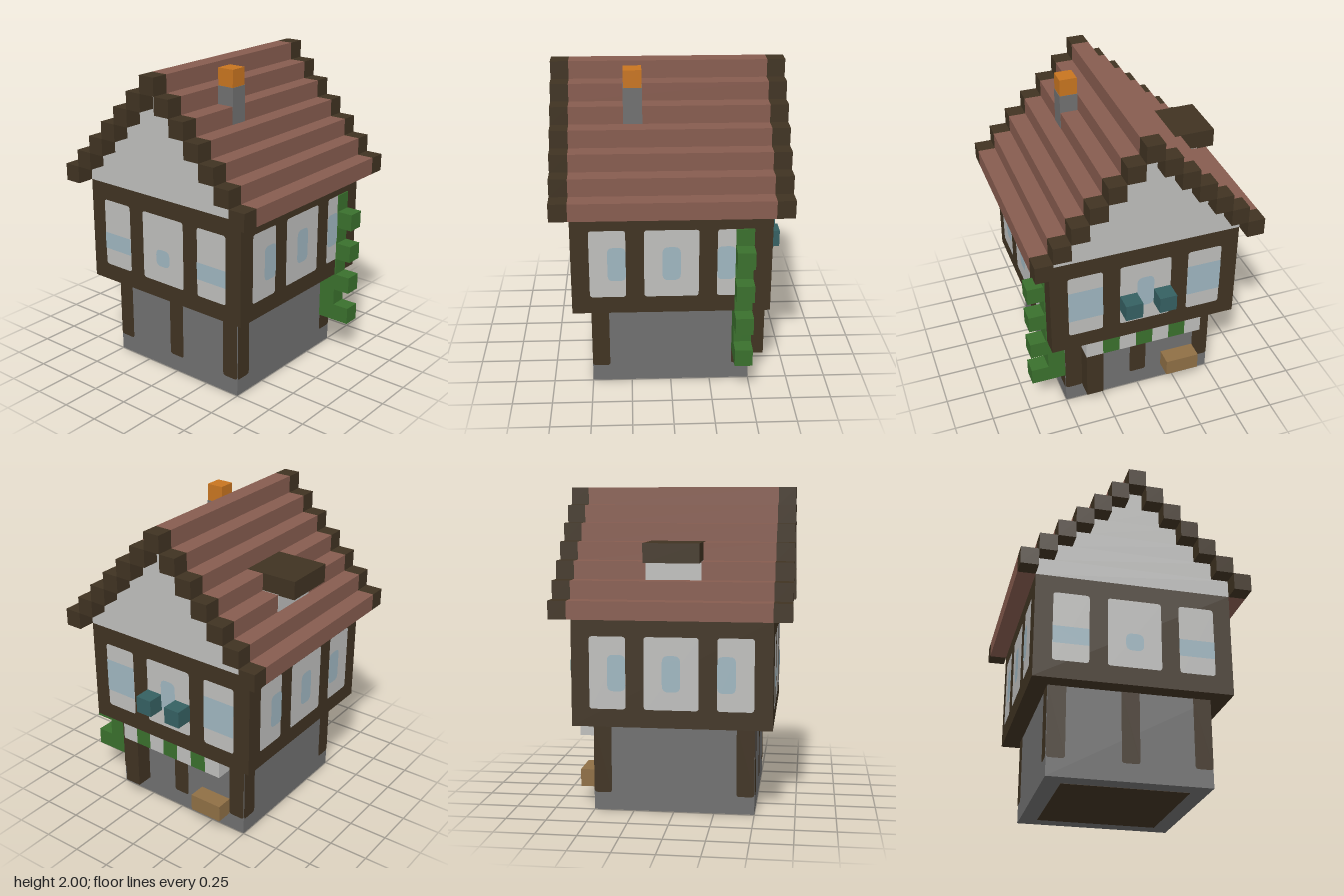
import * as THREE from 'three';

const U = 1 / 9; // one block

const mat = (name, color) => {
  const m = new THREE.MeshStandardMaterial({ color });
  m.name = name;
  return m;
};

export function createModel() {
  const wood = mat('dark timber', 0x403322);
  const stone = mat('grey stone', 0x707070);
  const plaster = mat('white plaster', 0xbebebc);
  const glass = mat('pale blue glass', 0x9fb6c0);
  const tile = mat('red roof tile', 0x875c4f);
  const ember = mat('orange ember', 0xc87520);
  const leaf = mat('leaf green', 0x3a702d);
  const teal = mat('teal flower box', 0x356062);
  const oak = mat('light oak', 0x8f6f45);

  const house = new THREE.Group();
  house.name = 'house';

  // Box filling the blocks [x0..x1], [y0..y1], [z0..z1]; x and z are centred on block 0
  function blocks(name, material, [x0, x1], [y0, y1], [z0, z1], grow = 0) {
    const size = (a, b) => (b - a + 1) * U + grow;
    const mesh = new THREE.Mesh(new THREE.BoxGeometry(size(x0, x1), size(y0, y1), size(z0, z1)), material);
    mesh.position.set((x0 + x1) / 2 * U, (y0 + y1 + 1) / 2 * U, (z0 + z1) / 2 * U);
    mesh.name = name;
    house.add(mesh);
    return mesh;
  }

  // Flat painted panel with rounded bottom corners (rb) and top corners (rt)
  function plate(parent, name, material, [i0, i1], [j0, j1], depth, rb, rt = rb) {
    const l = (i0 - 0.5) * U, r = (i1 + 0.5) * U, b = j0 * U, t = (j1 + 1) * U;
    const s = new THREE.Shape();
    s.moveTo(l + rb, b);
    s.lineTo(r - rb, b);
    s.quadraticCurveTo(r, b, r, b + rb);
    s.lineTo(r, t - rt);
    s.quadraticCurveTo(r, t, r - rt, t);
    s.lineTo(l + rt, t);
    s.quadraticCurveTo(l, t, l, t - rt);
    s.lineTo(l, b + rb);
    s.quadraticCurveTo(l, b, l + rb, b);
    const mesh = new THREE.Mesh(new THREE.ShapeGeometry(s, 4), material);
    mesh.position.z = depth;
    mesh.name = name;
    parent.add(mesh);
  }

  // Stone ground floor, with a timber floor seen from below
  blocks('groundFloor', stone, [-4, 4], [0, 4], [-4, 4]);
  const floor = new THREE.Mesh(new THREE.BoxGeometry(7 * U, 0.006, 7 * U), wood);
  floor.name = 'floor';
  floor.position.y = 0.001;
  house.add(floor);

  // Timber upper floor
  blocks('upperFloor', wood, [-5, 5], [5, 10], [-5, 5]);

  // Four sides: posts, plaster panels and window panes
  ['front', 'right', 'back', 'left'].forEach((side, n) => {
    const wall = new THREE.Group();
    wall.name = side + 'Wall';
    wall.rotation.y = n * Math.PI / 2;
    house.add(wall);
    const gableEnd = n % 2 === 0;
    for (const i of gableEnd ? [-4, 0, 4] : [-4, 4]) {
      plate(wall, 'post', wood, [i, i], [1, 4], 4.5 * U + 0.003, 0.02, 0);
    }
    for (const span of [[-4, -3], [-1, 1], [3, 4]]) {
      plate(wall, 'panel', plaster, span, [6, 9], 5.5 * U + 0.003, 0.02);
    }
    const rows = side === 'front' ? [7, 7] : [7, 8];
    plate(wall, 'windowPane', glass, [0, 0], rows, 5.5 * U + 0.006, 0.04);
    for (const s of [-1, 1]) {
      const span = !gableEnd ? [3 * s, 3 * s] : s < 0 ? [-4, -3] : [3, 4];
      plate(wall, 'windowPane', glass, span, rows, 5.5 * U + 0.006, gableEnd ? 0 : 0.035);
    }
  });

  // Stepped roof, gable infill and verge timbers
  for (let k = 0; k <= 6; k++) {
    const y = [11 + k, 11 + k], reach = 6 - k;
    if (reach > 0) blocks('gable', plaster, [1 - reach, reach - 1], y, [-5, 5]);
    for (const x of reach ? [-reach, reach] : [0]) {
      blocks('roofStep', tile, [x, x], y, [-5, 5]);
      for (const z of [-6, 6]) blocks('vergeTimber', wood, [x, x], y, [z, z]);
    }
  }

  // Dormer
  blocks('dormerWall', plaster, [-4, -4], [13, 13], [-1, 1], 0.006);
  blocks('dormerRoof', wood, [-5, -3], [14, 14], [-1, 1], 0.006);

  // Chimney
  blocks('chimney', stone, [2, 2], [15, 16], [2, 2], 0.005);
  blocks('chimneyTop', ember, [2, 2], [17, 17], [2, 2]);

  // Climbing vine on the left side
  blocks('vineStem', leaf, [5, 5], [2, 4], [-4, -4]);
  const upperVine = blocks('vineOnWall', leaf, [5, 5], [5, 9], [-4, -4]);
  upperVine.position.x += 0.008;
  for (const y of [2, 4, 6, 8]) blocks('vineLeaf', leaf, [6, 6], [y, y], [-4, -4]);

  // Back: striped awning, pillar, bench and flower boxes
  for (let x = -3; x <= 3; x++) {
    blocks('awningStripe', x % 2 ? plaster : leaf, [x, x], [4, 4], [-5, -5]);
  }
  blocks('awningPillar', wood, [3, 3], [1, 3], [-5, -5]);
  blocks('bench', oak, [-3, -2], [1, 1], [-5, -5]);
  for (const x of [-1, 1]) blocks('flowerBox', teal, [x, x], [7, 7], [-6, -6]);

  return house;
}
